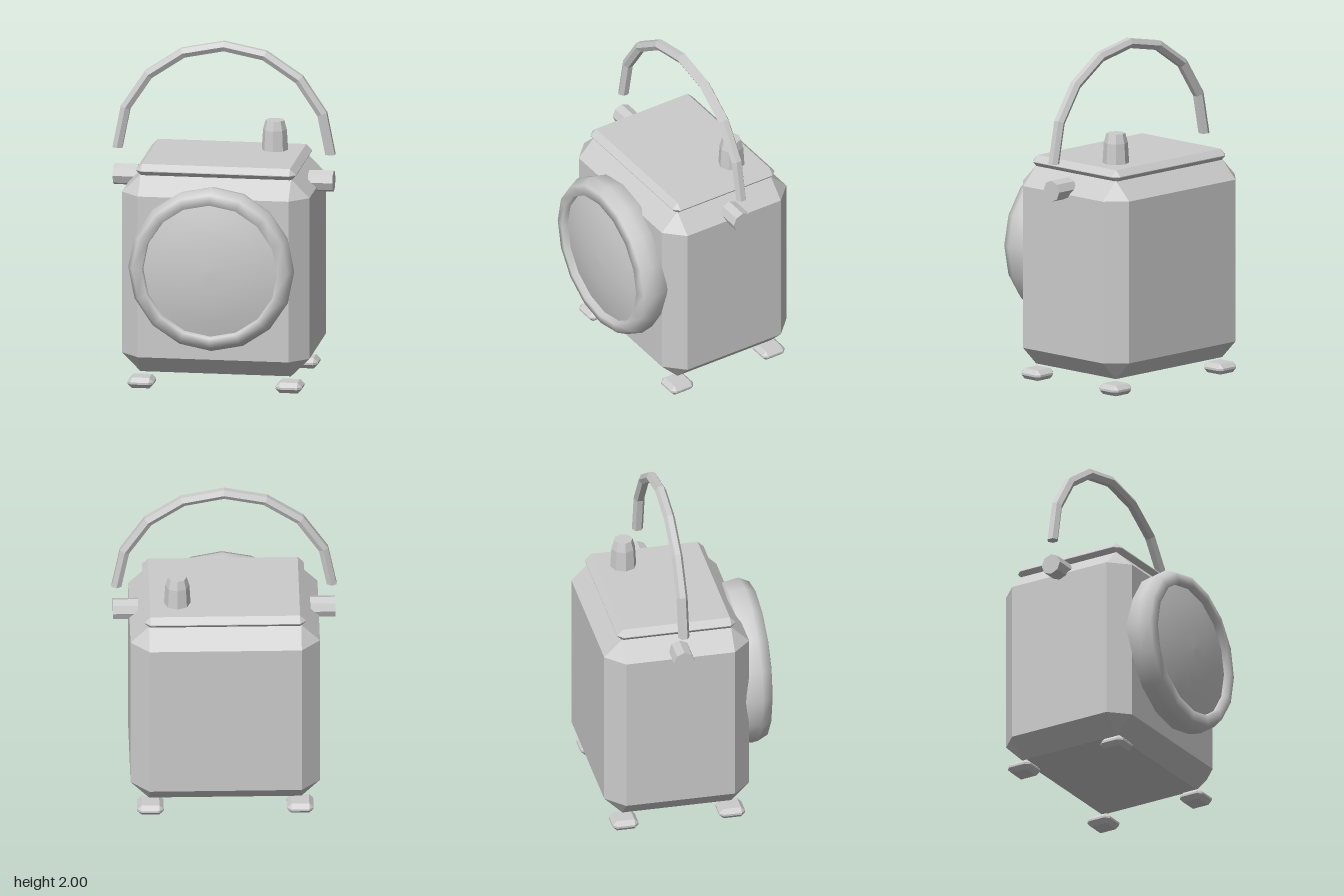
import * as THREE from 'three';
import { ConvexGeometry } from 'three/addons/geometries/ConvexGeometry.js';

const flat = new THREE.MeshStandardMaterial({ color: 0xcccccc, flatShading: true });
const smooth = new THREE.MeshStandardMaterial({ color: 0xcccccc });

// Box with every edge cut by a 45 degree chamfer
function chamferedBox(w, h, d, c) {
  const points = [];
  for (const sx of [-1, 1]) for (const sy of [-1, 1]) for (const sz of [-1, 1]) {
    const x = w / 2, y = h / 2, z = d / 2;
    points.push(
      new THREE.Vector3(sx * x, sy * (y - c), sz * (z - c)),
      new THREE.Vector3(sx * (x - c), sy * y, sz * (z - c)),
      new THREE.Vector3(sx * (x - c), sy * (y - c), sz * z));
  }
  return new ConvexGeometry(points);
}

const lathe = (profile, sides) =>
  new THREE.LatheGeometry(profile.map(([r, y]) => new THREE.Vector2(r, y)), sides);

// Semicircular path of the carrying handle
class HandleArc extends THREE.Curve {
  getPoint(t, target = new THREE.Vector3()) {
    const a = Math.PI * t;
    return target.set(0.625 * Math.cos(a), 0.625 * Math.sin(a), 0);
  }
}

export function createModel() {
  const model = new THREE.Group();
  model.name = 'cannister';
  model.name = 'portableCase';
  const add = (name, geometry, material, x, y, z, parent = model) => {
    const mesh = new THREE.Mesh(geometry, material);
    mesh.name = name;
    mesh.position.set(x, y, z);
    parent.add(mesh);
    return mesh;
  };

  // Body and lid
  add('body', chamferedBox(1.1, 1.175, 0.862, 0.108), flat, 0, 0.677, -0.08);
  add('lid', chamferedBox(0.94, 0.074, 0.706, 0.035), flat, 0, 1.288, -0.08);

  // Tapered knob on the lid
  add('knob', lathe([[0, 0], [0.078, 0], [0.07, 0.13], [0.055, 0.185], [0, 0.185]], 8),
    flat, 0.275, 1.315, -0.24);

  // Round front: rim with a recessed, slightly domed disc
  const front = new THREE.Group();
  front.name = 'frontDial';
  front.position.set(0, 0.755, 0);
  front.rotation.x = Math.PI / 2;
  model.add(front);
  add('rim', lathe([[0, 0.29], [0.4, 0.3], [0.44, 0.315], [0.47, 0.33],
    [0.487, 0.425], [0.457, 0.487], [0.398, 0.5], [0.393, 0.455]], 16), smooth, 0, 0, 0, front);
  add('disc', lathe([[0.396, 0.458], [0.3, 0.481], [0.2, 0.496], [0.1, 0.505], [0, 0.508]], 16),
    smooth, 0, 0, 0, front);

  // Side pegs
  for (const [name, s] of [['leftPeg', 1], ['rightPeg', -1]]) {
    const peg = add(name, new THREE.CylinderGeometry(0.0625, 0.0625, 0.145, 8), flat, s * 0.5725, 1.186, -0.078);
    peg.rotation.z = Math.PI / 2;
  }

  // Handle with closed ends
  const handle = new THREE.Group();
  handle.name = 'handle';
  handle.position.set(0, 1.345, -0.078);
  model.add(handle);
  add('handleBar', new THREE.TubeGeometry(new HandleArc(), 8, 0.033, 6), flat, 0, 0, 0, handle);
  for (const s of [1, -1]) {
    const cap = add('handleEnd', new THREE.CircleGeometry(0.033, 6, Math.PI / 2), flat, s * 0.625, 0, 0, handle);
    cap.rotation.x = Math.PI / 2;
  }

  // Four feet
  for (const x of [-0.435, 0.435]) for (const z of [0.24, -0.393]) {
    add('foot', chamferedBox(0.154, 0.062, 0.154, 0.025), flat, x, 0.031, z);
  }
  return model;
}
